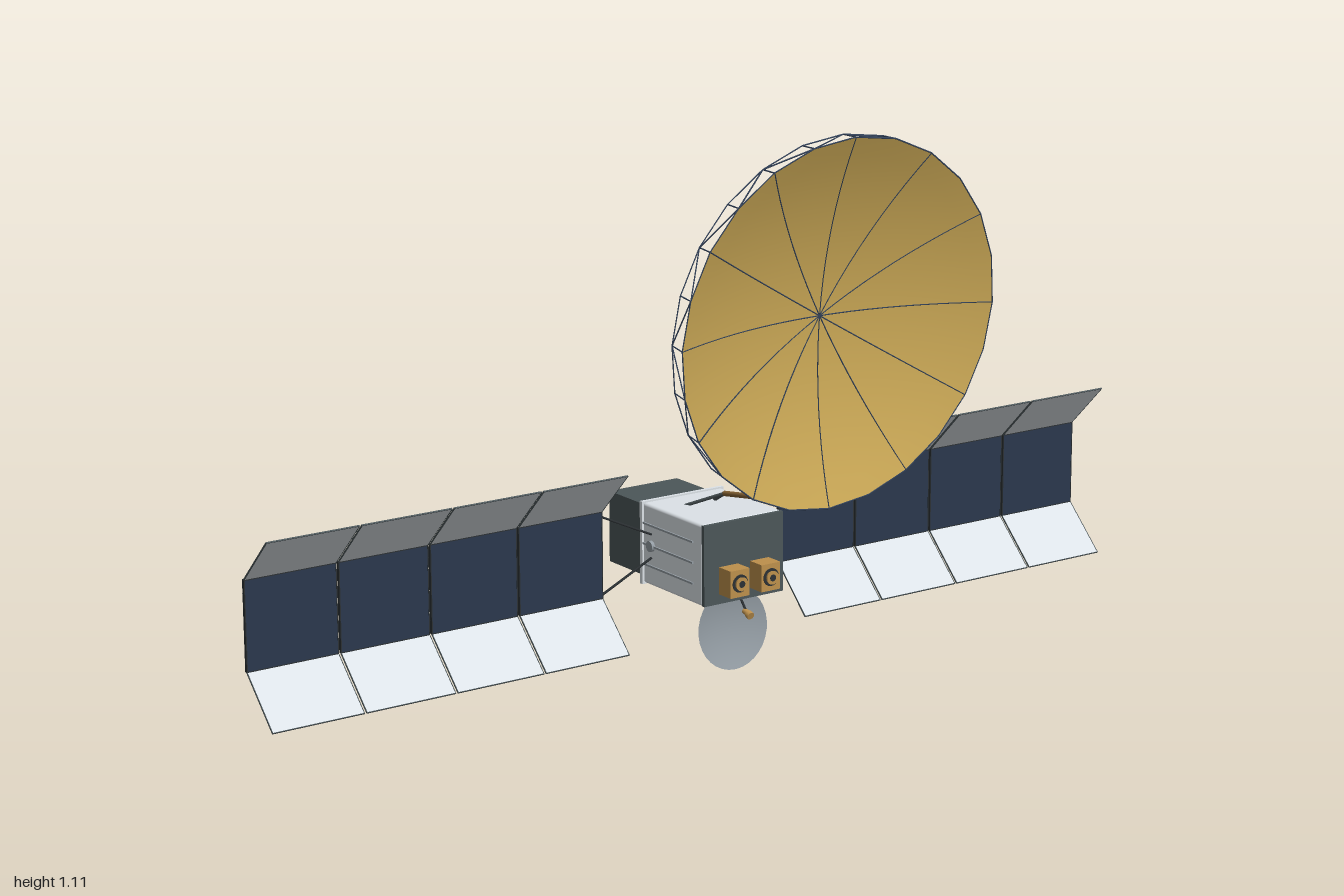
import * as THREE from 'three';
import { mergeGeometries } from 'three/addons/utils/BufferGeometryUtils.js';
import { RoundedBoxGeometry } from 'three/addons/geometries/RoundedBoxGeometry.js';

const mat = (name, color, side = THREE.FrontSide) => {
  const m = new THREE.MeshStandardMaterial({ color, side });
  m.name = name;
  return m;
};
const V = (x, y, z) => new THREE.Vector3(x, y, z);

// Cylinder geometry running between two points
function rodGeo(a, b, r, sides = 5) {
  const d = b.clone().sub(a);
  const g = new THREE.CylinderGeometry(r, r, d.length(), sides);
  g.applyQuaternion(new THREE.Quaternion().setFromUnitVectors(V(0, 1, 0), d.normalize()));
  return g.translate((a.x + b.x) / 2, (a.y + b.y) / 2, (a.z + b.z) / 2);
}
const rods = (list, r, sides) => mergeGeometries(list.map(([a, b]) => rodGeo(a, b, r, sides)));
const boxGeo = (w, h, d, x, y, z) => new THREE.BoxGeometry(w, h, d).translate(x, y, z);
// Cylinder along z
const discGeo = (r0, r1, len, x, y, z, n = 24) =>
  new THREE.CylinderGeometry(r1, r0, len, n).rotateX(Math.PI / 2).translate(x, y, z);

// Shallow paraboloid opening towards +z with its rim at z = 0
function bowlGeo(R, depth, sides) {
  const pts = [];
  for (let i = 0; i <= 10; i++) {
    const t = i / 10;
    pts.push(new THREE.Vector2(R * t, -depth * (1 - t * t)));
  }
  return new THREE.LatheGeometry(pts, sides).rotateX(Math.PI / 2);
}

export function createModel() {
  const silver = mat('silver foil', 0xdce2e7);
  const dark = mat('dark grey', 0x4c5659);
  const black = mat('near black', 0x2c3134);
  const gold = mat('gold mesh', 0xcfac58, THREE.DoubleSide);
  const amber = mat('amber', 0xbd904c);
  const bronze = mat('bronze boom', 0x886434);
  const navy = mat('solar blue', 0x2a384d);
  const truss = mat('truss blue grey', 0x36465f);
  const grey = mat('mid grey', 0x949da4);
  const dishGrey = mat('dish grey', 0x929ba2, THREE.DoubleSide);

  const root = new THREE.Group();
  const add = (name, geo, m, parent = root) => {
    const mesh = new THREE.Mesh(geo, m);
    mesh.name = name;
    parent.add(mesh);
    return mesh;
  };
  const cy = 0.237;

  // Main bus, front plate, rear flange and rear module
  add('bus', new RoundedBoxGeometry(0.19, 0.165, 0.205, 2, 0.006).translate(0, cy, -0.098), silver);
  add('frontPlate', boxGeo(0.19, 0.163, 0.008, 0, cy, 0.006), dark);
  add('rearFlange', boxGeo(0.198, 0.17, 0.008, 0, cy, -0.201), silver);
  add('rearModule', boxGeo(0.166, 0.147, 0.135, 0, cy, -0.27), dark);
  add('sideRibs', mergeGeometries([-1, 1].flatMap(s => [-0.042, 0, 0.042].map(
    dy => boxGeo(0.004, 0.004, 0.172, s * 0.096, cy + dy, -0.112)))), grey);

  // Rear docking ring with a recessed dark face and a central hub
  const ring = [[0.05, 0], [0.063, 0], [0.063, 0.018], [0.05, 0.018], [0.05, 0]];
  add('rearRing', new THREE.LatheGeometry(ring.map(p => new THREE.Vector2(...p)), 32)
    .toNonIndexed().rotateX(-Math.PI / 2).translate(0, cy, -0.337), grey).geometry.computeVertexNormals();
  add('rearFace', discGeo(0.05, 0.05, 0.006, 0, cy, -0.34, 32), dark);
  add('rearHub', discGeo(0.036, 0.036, 0.012, 0, cy, -0.343, 32), grey);

  // Front feed horns
  for (const s of [-1, 1]) {
    const feed = new THREE.Group();
    feed.name = s > 0 ? 'leftFeed' : 'rightFeed';
    feed.position.set(s * 0.037, 0.203, 0);
    root.add(feed);
    add('feedBox', boxGeo(0.045, 0.055, 0.039, 0, 0, 0.029), amber, feed);
    add('feedPlate', discGeo(0.018, 0.018, 0.002, 0, 0, 0.049), black, feed);
    add('feedHorn', discGeo(0.012, 0.014, 0.007, 0, 0, 0.052, 16), amber, feed);
    add('feedMouth', discGeo(0.007, 0.007, 0.001, 0, 0, 0.0556, 16), black, feed);
  }

  // Small lower dish with its horn and struts
  const small = add('smallDish', bowlGeo(0.083, 0.013, 32), dishGrey);
  small.position.set(0, 0.086, -0.027);
  small.rotation.x = -0.11;
  add('smallDishStruts', rods([-1, 1].map(s =>
    [V(s * 0.02, 0.076, -0.04), V(s * 0.03, 0.16, -0.115)]), 0.0018), black);
  add('smallHornArm', rodGeo(V(0, 0.16, -0.006), V(0, 0.132, 0.018), 0.0025, 6), black);
  add('smallHorn', mergeGeometries([
    rodGeo(V(0, 0.132, 0.012), V(0, 0.127, 0.032), 0.006, 10),
    rodGeo(V(0, 0.129, 0.024), V(0, 0.126, 0.033), 0.008, 10)]), amber);

  // Boom and its forked root
  add('boom', rodGeo(V(0, 0.355, -0.055), V(0, 0.402, 0.243), 0.0055, 8), bronze);
  add('boomFork', rods([-1, 1].map(s =>
    [V(s * 0.036, 0.316, -0.142), V(0, 0.356, -0.053)]), 0.0035, 6), dark);

  // Large reflector: gold bowl, radial ribs and a hoop truss of 24 bays
  const reflector = new THREE.Group();
  reflector.name = 'reflector';
  reflector.position.set(0, 0.759, 0.319);
  reflector.rotation.x = 0.104;
  root.add(reflector);
  const R = 0.36, depth = 0.071, bays = 24;
  add('bowl', bowlGeo(R, depth, bays), gold, reflector);
  const ribs = [], hoop = [];
  const at = (r, i, z) => V(r * Math.cos(i * Math.PI * 2 / bays), r * Math.sin(i * Math.PI * 2 / bays), z);
  for (let i = 0; i < bays; i += 2) {
    for (let k = 0; k < 10; k++) {
      const [a, b] = [k / 10, (k + 1) / 10];
      ribs.push([at(R * a, i, 0.0005 - depth * (1 - a * a)), at(R * b, i, 0.0005 - depth * (1 - b * b))]);
    }
  }
  for (let i = 0; i < bays; i++) {
    const f = at(R, i, 0), f2 = at(R, i + 1, 0);
    const b = at(R - 0.004, i, -0.038), b2 = at(R - 0.004, i + 1, -0.038);
    hoop.push([f, f2], [b, b2], [f, b], i % 2 ? [f, b2] : [b, f2]);
  }
  add('reflectorRibs', rods(ribs, 0.0012, 4), truss, reflector).position.z = 0.0008;
  add('hoopTruss', rods(hoop, 0.0014, 4), truss, reflector);

  // Thin border of four bars in the xy plane
  const border = (w, h, t, d) => mergeGeometries([-1, 1].flatMap(s => [
    boxGeo(w, t, d, 0, s * (h - t) / 2, 0), boxGeo(t, h - 2 * t, d, s * (w - t) / 2, 0, 0)]));

  // Solar wings: four bays each with a cell panel and two angled mirrors
  const w = 0.193, pitch = 0.1972, ph = 0.178, fh = 0.132, zp = -0.169;
  for (const s of [-1, 1]) {
    const wing = new THREE.Group();
    wing.name = s > 0 ? 'leftWing' : 'rightWing';
    root.add(wing);
    add('hub', new THREE.CylinderGeometry(0.011, 0.011, 0.01, 16).rotateZ(Math.PI / 2)
      .translate(s * 0.097, cy, zp), grey, wing);
    add('yoke', rods([-1, 1].map(k =>
      [V(s * 0.096, cy + k * 0.024, zp), V(s * 0.215, cy + k * 0.08, zp)]), 0.0025, 6), black, wing);
    for (let i = 0; i < 4; i++) {
      const bay = new THREE.Group();
      bay.name = 'wingBay' + (i + 1);
      bay.position.set(s * (0.2114 + pitch * (i + 0.5)), cy + 0.002, zp);
      wing.add(bay);
      add('cells', boxGeo(w - 0.003, ph - 0.003, 0.003, 0, 0, 0.0015), navy, bay);
      add('panelBack', boxGeo(w - 0.003, ph - 0.003, 0.003, 0, 0, -0.0015), grey, bay);
      add('panelFrame', border(w, ph, 0.002, 0.007), black, bay);
      add('backRails', mergeGeometries([-1, 1].map(k =>
        boxGeo(w, 0.0015, 0.002, 0, k * 0.062, -0.0032))), dark, bay);
      for (const k of [-1, 1]) {
        const flap = new THREE.Group();
        flap.name = k > 0 ? 'upperMirror' : 'lowerMirror';
        flap.position.set(0, k * (ph / 2 + 0.0455), 0.0475);
        flap.rotation.x = k * Math.PI / 4;
        bay.add(flap);
        add('mirrorSheet', boxGeo(w - 0.002, fh - 0.002, 0.002, 0, 0, 0), silver, flap);
        add('mirrorEdge', border(w, fh, 0.0015, 0.003), dark, flap);
      }
    }
  }
  return root;
}
